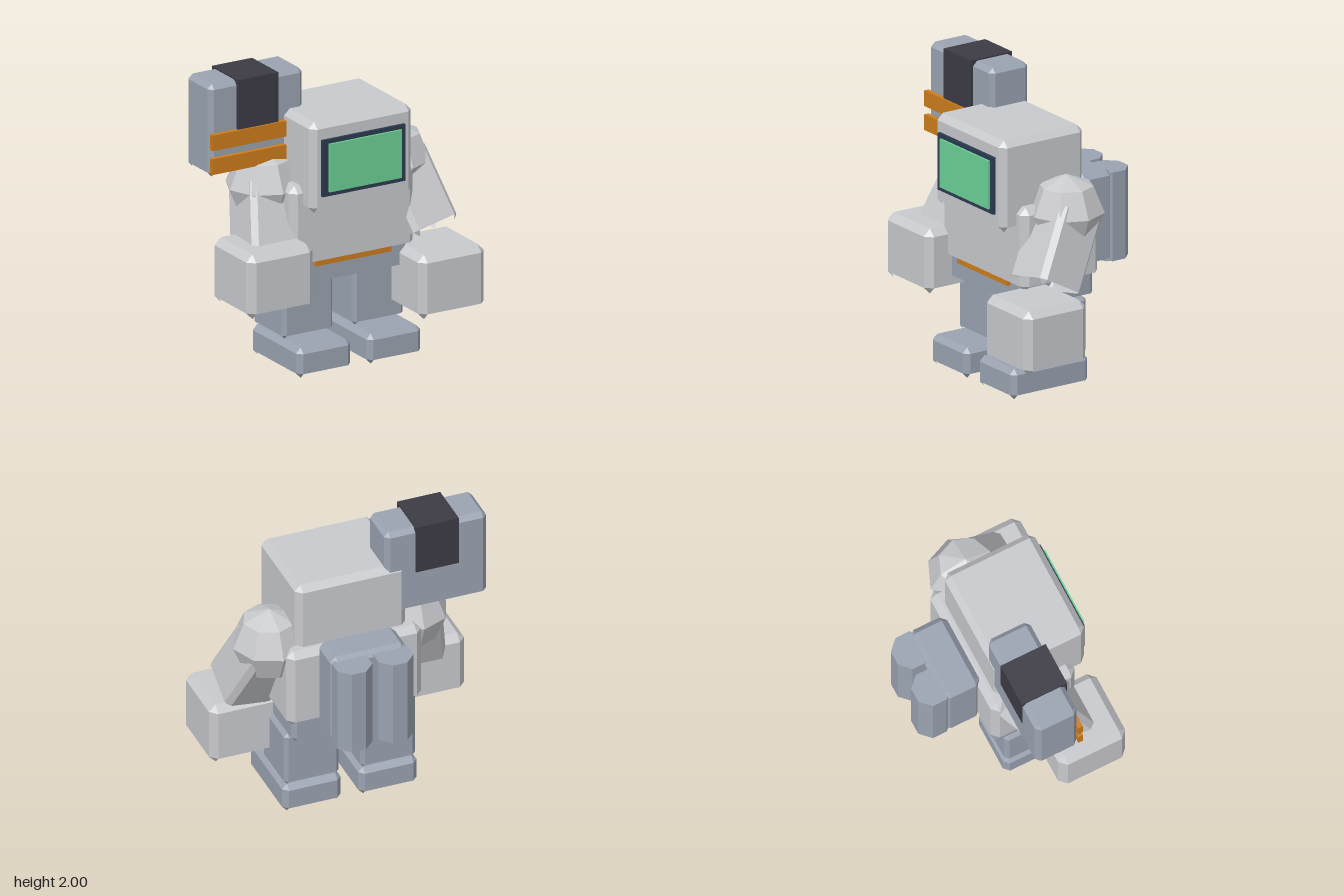
import * as THREE from 'three';

const flat = (name, color) => {
  const m = new THREE.MeshStandardMaterial({ color, flatShading: true, side: THREE.DoubleSide });
  m.name = name;
  return m;
};

// Box with chamfered top and upright edges; underside open, with only the corner tips left.
function shellBox(w, h, d, c) {
  const X = w / 2, Y = h / 2, Z = d / 2, pos = [];
  const corners = [[1, 1], [1, -1], [-1, -1], [-1, 1]];
  const octagon = (y) => corners.flatMap(([sx, sz], i) => {
    const pair = [[sx * (X - c), y, sz * Z], [sx * X, y, sz * (Z - c)]];
    return i % 2 ? pair.reverse() : pair;
  });
  const inset = (y) => corners.map(([sx, sz]) => [sx * (X - c), y, sz * (Z - c)]);
  const low = octagon(-Y + c), high = octagon(Y - c), tips = inset(-Y), top = inset(Y);
  const tri = (...p) => pos.push(...p.flat());
  const quad = (p, q, r, s) => { tri(p, q, r); tri(p, r, s); };
  for (let i = 0; i < 8; i++) {
    const j = (i + 1) % 8;
    quad(low[i], low[j], high[j], high[i]);
  }
  for (let i = 0; i < 4; i++) {
    const a = 2 * i, b = a + 1, n = (a + 2) % 8;
    tri(high[a], high[b], top[i]);
    quad(high[b], high[n], top[(i + 1) % 4], top[i]);
    tri(low[b], low[a], tips[i]);
  }
  quad(...top);
  const g = new THREE.BufferGeometry();
  g.setAttribute('position', new THREE.Float32BufferAttribute(pos, 3));
  g.computeVertexNormals();
  return g;
}

export function createModel() {
  const root = new THREE.Group();
  root.name = 'robot';
  const shell = flat('light grey shell', 0xc8c9cd);
  const steel = flat('blue grey steel', 0x9aa3b1);
  const orange = flat('orange trim', 0xcc7c1c);
  const navy = flat('navy frame', 0x2b3a50);
  const green = flat('green screen', 0x6bd094);
  const charcoal = flat('charcoal band', 0x3c3b45);

  const add = (name, geometry, material, x, y, z, parent = root) => {
    const m = new THREE.Mesh(geometry, material);
    m.name = name;
    m.position.set(x, y, z);
    parent.add(m);
    return m;
  };
  // Parts given by their extents on each axis; chamfer 0 makes a plain box.
  const part = (name, material, [x0, x1], [y0, y1], [z0, z1], c = 0) => {
    const size = [x1 - x0, y1 - y0, z1 - z0];
    const g = c ? shellBox(...size, c) : new THREE.BoxGeometry(...size);
    return add(name, g, material, (x0 + x1) / 2, (y0 + y1) / 2, (z0 + z1) / 2);
  };
  const mid = 0.037; // body centre line

  // Head with screen
  part('head', shell, [-0.345, 0.42], [1.11, 1.73], [-0.16, 0.49], 0.042);
  part('screenFrame', navy, [-0.275, 0.345], [1.23, 1.615], [0.47, 0.51]);
  part('screen', green, [-0.232, 0.31], [1.26, 1.587], [0.5, 0.525]);

  // Torso, belt plate and hips
  part('torso', shell, [-0.428, 0.502], [0.705, 1.275], [-0.225, 0.38], 0.045);
  part('beltPlate', orange, [-0.245, 0.317], [0.715, 0.87], [0.352, 0.379]);
  part('hips', steel, [-0.39, 0.465], [0.57, 0.84], [-0.2, 0.35], 0.03);

  // Backpack with two eight-sided thrusters
  part('backpack', steel, [-0.225, 0.3], [0.7, 1.34], [-0.47, -0.205], 0.04);
  for (const s of [-1, 1]) {
    const r = 0.12 / Math.cos(Math.PI / 8);
    const t = new THREE.CylinderGeometry(r, r, 0.6, 8).rotateY(Math.PI / 8);
    add('thruster', t, steel, mid + s * 0.142, 1.015, -0.508);
  }

  // Legs and feet
  for (const s of [-1, 1]) {
    const x = mid + s * 0.263;
    part('leg', steel, [x - 0.19, x + 0.19], [0.205, 0.595], [-0.13, 0.255], 0.025);
    part('foot', steel, [x - 0.202, x + 0.202], [0, 0.205], [-0.14, 0.465], 0.035);
  }

  // Arms: shoulder ball, swung arm and big square hand
  const arms = [
    { s: 1, swing: -0.5, hand: [0.642, 0.51, 0.382] },
    { s: -1, swing: -0.4, hand: [-0.59, 0.71, 0.295] },
  ];
  for (const { s, swing, hand } of arms) {
    const shoulder = [mid + s * 0.486, 1.22, 0.06];
    add('shoulderBall', new THREE.SphereGeometry(0.25, 8, 4), shell, ...shoulder);
    const pivot = new THREE.Group();
    pivot.name = s > 0 ? 'leftArm' : 'rightArm';
    pivot.position.set(...shoulder);
    pivot.rotation.set(swing, 0, s * 0.2);
    root.add(pivot);
    add('arm', shellBox(0.35, 0.56, 0.35, 0.035), shell, 0, -0.25, 0, pivot);
    add('hand', shellBox(0.495, 0.44, 0.485, 0.047), shell, ...hand);
  }

  // Shoulder pod on the right, with band and trim strips
  part('shoulderPod', steel, [-0.9, -0.195], [1.36, 1.99], [-0.155, 0.145], 0.032);
  part('podBand', charcoal, [-0.7, -0.4], [1.655, 2], [-0.16, 0.165]);
  for (const y of [1.61, 1.448]) {
    part('podStrip', orange, [-0.9, -0.2], [y - 0.053, y + 0.053], [0.143, 0.177]);
  }
  return root;
}
